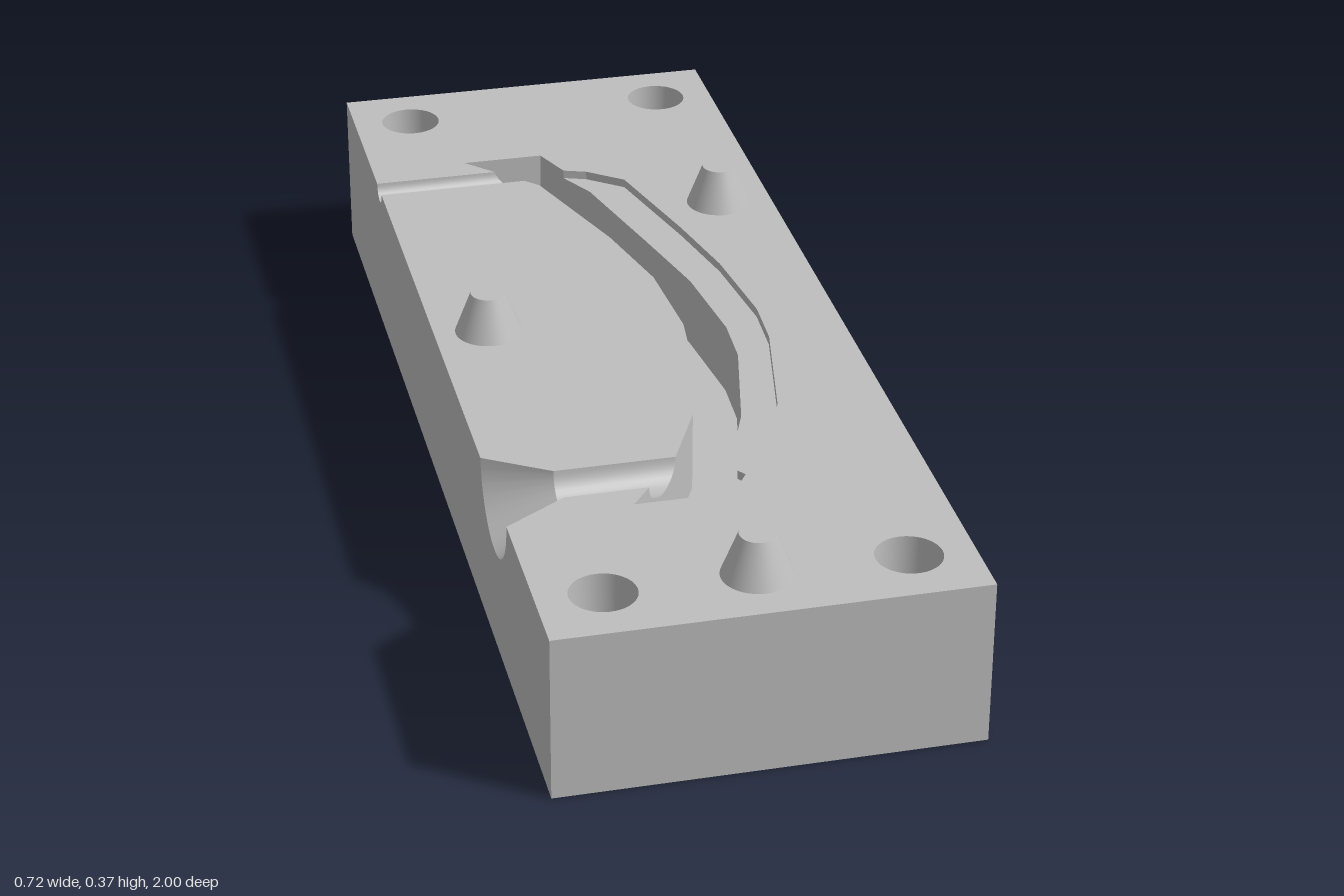
import * as THREE from 'three';

const W = 0.36, L = 1, H = 0.297;          // half width, half length, height of block
const LEDGE = H - 0.016, FLOOR = H - 0.145; // levels inside the cavity
const SEG = 16;

// Cavity outlines in plan, [x, z], back to front
const inner = [[-0.18, -0.675], [-0.058, -0.548], [0.026, -0.304], [0.069, -0.13], [0.08, 0.056],
  [0.063, 0.2], [0.02, 0.373], [-0.042, 0.505], [-0.143, 0.637]];
const middle = [[-0.03, -0.675], [0, -0.6], [0.037, -0.53], [0.095, -0.304], [0.138, -0.13], [0.159, 0.056],
  [0.154, 0.16], [0.106, 0.37], [0.032, 0.56], [-0.037, 0.637]];
const outer = [[-0.03, -0.675], [0, -0.6], [0.042, -0.585], [0.106, -0.535], [0.164, -0.315], [0.2, -0.155],
  [0.222, 0.03], [0.217, 0.135], [0.17, 0.37], [0.1, 0.53], [0.048, 0.57], [0.058, 0.585], [0.026, 0.637]];
const vent = { z: -0.598, r: 0.025, mouth: 0.025 };
const runner = { z: 0.547, r: 0.043, mouth: 0.112 };
const FUNNEL_X = -0.25;
const holes = [[-0.25, -0.885], [0.25, -0.885], [-0.25, 0.885], [0.25, 0.885]];
const HOLE_R = 0.056;

function innerX(z, y = H) {
  let i = 0;
  while (i < inner.length - 2 && z > inner[i + 1][1]) i++;
  const [a, b] = [inner[i], inner[i + 1]];
  const x = a[0] + (b[0] - a[0]) * (z - a[1]) / (b[1] - a[1]);
  // the wall leans out at the back end
  const lean = 0.045 * Math.min(1, Math.max(0, (-0.548 - z) / 0.127));
  return x + lean * (H - y) / (H - FLOOR);
}

// Half circle from the back rim to the front rim: [z, y]
const arc = (c, r) => Array.from({ length: SEG + 1 }, (_, i) => {
  const t = Math.PI * i / SEG;
  return [c.z - r * Math.cos(t), H - r * Math.sin(t)];
});

// Surface through rows of points
function loft(rows, flat = false) {
  const n = rows[0].length, index = [];
  for (let i = 0; i < rows.length - 1; i++) {
    for (let j = 0; j < n - 1; j++) {
      const a = i * n + j, b = a + n;
      index.push(a, b, a + 1, b, b + 1, a + 1);
    }
  }
  let g = new THREE.BufferGeometry();
  g.setAttribute('position', new THREE.Float32BufferAttribute(rows.flat(2), 3));
  g.setIndex(index);
  if (flat) g = g.toNonIndexed();
  g.computeVertexNormals();
  return g;
}

// Flat face from [x, z] points at height y
function plan(points, y, holeList = []) {
  const s = new THREE.Shape(points.map(([x, z]) => new THREE.Vector2(x, -z)));
  for (const [x, z] of holeList) {
    s.holes.push(new THREE.Path().absarc(x, -z, HOLE_R, 0, Math.PI * 2, true));
  }
  return new THREE.ShapeGeometry(s, 16).rotateX(-Math.PI / 2).translate(0, y, 0);
}

const level = (pts, y) => pts.map(([x, z]) => [x, y, z]);

export function createModel() {
  const group = new THREE.Group();
  const grey = new THREE.MeshStandardMaterial({ color: 0xbebebe, side: THREE.DoubleSide });
  grey.name = 'plain grey';
  const add = (name, geometry) => {
    const m = new THREE.Mesh(geometry, grey);
    m.name = name;
    group.add(m);
    return m;
  };

  // Top face: the outer part and the island between the channels
  const vF = vent.z + vent.r, vB = vent.z - vent.r;
  const rB = runner.z - runner.r, rF = runner.z + runner.r;
  add('topFace', plan([
    [-W, -L], [W, -L], [W, L], [-W, L], [-W, runner.z + runner.mouth], [FUNNEL_X, rF], [innerX(rF), rF],
    inner[inner.length - 1], ...[...outer].reverse(), inner[0], [innerX(vB), vB], [-W, vB],
  ], H, holes));
  add('topIsland', plan([
    [-W, vF], [innerX(vF), vF], ...inner.filter(p => p[1] > vF && p[1] < rB), [innerX(rB), rB],
    [FUNNEL_X, rB], [-W, runner.z - runner.mouth],
  ], H));

  // Underside and sides
  const under = plan([[-W, -L], [W, -L], [W, L], [-W, L]], 0, holes);
  under.scale(1, -1, 1);
  const idx = under.index.array;
  for (let i = 0; i < idx.length; i += 3) [idx[i], idx[i + 1]] = [idx[i + 1], idx[i]];
  under.computeVertexNormals();
  add('underside', under);
  add('frontSide', new THREE.PlaneGeometry(2 * W, H).translate(0, H / 2, L));
  add('backSide', new THREE.PlaneGeometry(2 * W, H).rotateY(Math.PI).translate(0, H / 2, -L));
  add('leftSide', new THREE.PlaneGeometry(2 * L, H).rotateY(Math.PI / 2).translate(W, H / 2, 0));
  const notched = [[-L, 0], [-L, H], ...arc(vent, vent.mouth), ...arc(runner, runner.mouth), [L, H], [L, 0]];
  add('rightSide', new THREE.ShapeGeometry(new THREE.Shape(notched.map(p => new THREE.Vector2(...p))))
    .rotateY(-Math.PI / 2).translate(-W, 0, 0));

  // Half-round channels that run into the cavity
  const at = (c, r, x) => arc(c, r).map(([z, y]) => [x, y, z]);
  const end = c => arc(c, c.r).map(([z, y]) => [innerX(z, y), y, z]);
  add('ventChannel', loft([at(vent, vent.r, -W), end(vent)]));
  add('runnerFunnel', loft([at(runner, runner.mouth, -W), at(runner, runner.r, FUNNEL_X)]));
  add('runnerChannel', loft([at(runner, runner.r, FUNNEL_X), end(runner)]));

  // Inner cavity wall, lowered where the channels open into it
  const samples = inner.map(p => [p[1], H]).filter(([z]) =>
    [vent, runner].every(c => Math.abs(z - c.z) > c.r));
  samples.push(...arc(vent, vent.r), ...arc(runner, runner.r));
  samples.sort((a, b) => a[0] - b[0]);
  add('cavityInnerWall', loft([
    samples.map(([z, y]) => [innerX(z, y), y, z]),
    samples.map(([z]) => [innerX(z, FLOOR), FLOOR, z]),
  ], true));

  // Remaining cavity walls, ledge and floor
  const first = inner[0], last = inner[inner.length - 1];
  add('cavityStepWall', loft([level(middle, LEDGE), level(middle, FLOOR)], true));
  add('cavityRimWall', loft([level(outer, H), level(outer, LEDGE)], true));
  add('cavityLedge', plan([...outer.slice(1), ...middle.slice(1).reverse()], LEDGE));
  const floorEdge = inner.map(([, z]) => [innerX(z, FLOOR), z]);
  add('cavityFloor', plan([...floorEdge, ...[...middle].reverse()], FLOOR));
  add('cavityBackWall', loft([level([first, middle[0]], H), level([floorEdge[0], middle[0]], FLOOR)], true));
  const midEnd = middle[middle.length - 1], outEnd = outer[outer.length - 1];
  add('cavityFrontWall', loft([level([midEnd, last], H), level([midEnd, last], FLOOR)], true));
  add('ledgeFrontWall', loft([level([outEnd, midEnd], H), level([outEnd, midEnd], LEDGE)], true));

  // Bolt holes
  for (const [x, z] of holes) {
    add('boltHole', new THREE.CylinderGeometry(HOLE_R, HOLE_R, H, 32, 1, true).translate(x, H / 2, z));
  }

  // Tapered locating pegs
  for (const [x, z] of [[-0.262, 0], [0.26, -0.405], [0, 0.885]]) {
    add('locatingPeg', new THREE.CylinderGeometry(0.031, 0.06, 0.076, 40)).position.set(x, H + 0.038, z);
  }
  return group;
}
